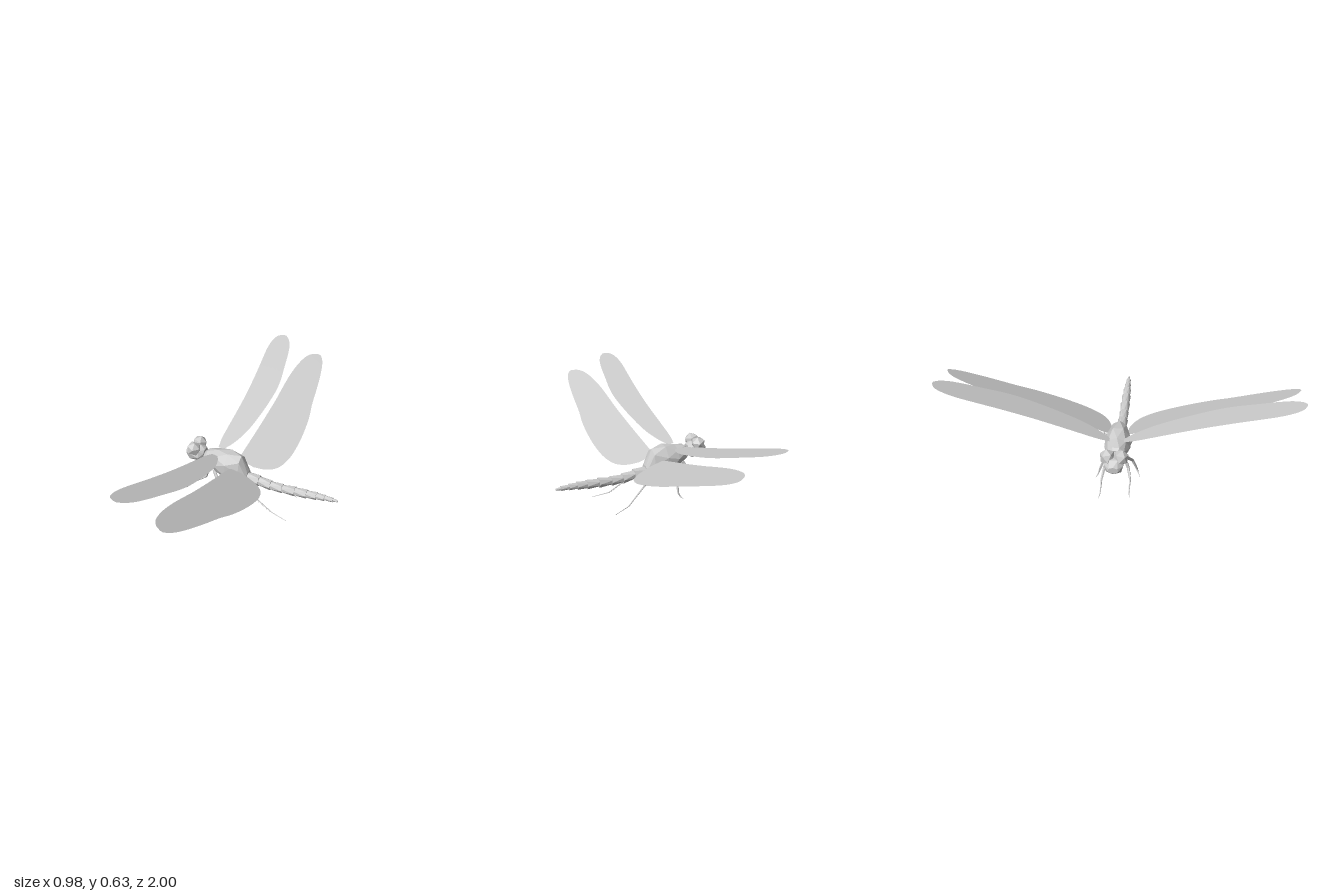
import * as THREE from 'three';

const flat = new THREE.MeshStandardMaterial({ color: 0xcccccc, flatShading: true });
const thin = new THREE.MeshStandardMaterial({ color: 0xcccccc, side: THREE.DoubleSide });

function add(parent, geometry, name, material = flat) {
  const mesh = new THREE.Mesh(geometry, material);
  mesh.name = name;
  parent.add(mesh);
  return mesh;
}

function build(pos, idx) {
  const g = new THREE.BufferGeometry();
  g.setAttribute('position', new THREE.Float32BufferAttribute(pos, 3));
  g.setIndex(idx);
  g.computeVertexNormals();
  return g;
}

// Closed skin over rings along x, each ring [x, centre y, half height, half width]
function loft(rings, sides) {
  const pos = [], idx = [];
  rings.forEach(([x, y, ry, rz], i) => {
    for (let j = 0; j < sides; j++) {
      const a = ((j + (i % 2) * 0.5) / sides) * Math.PI * 2;
      pos.push(x, y + ry * Math.cos(a), rz * Math.sin(a));
    }
  });
  const last = (rings.length - 1) * sides, c0 = rings.length * sides;
  pos.push(rings[0][0], rings[0][1], 0, rings.at(-1)[0], rings.at(-1)[1], 0);
  for (let j = 0; j < sides; j++) {
    const k = (j + 1) % sides;
    for (let i = 0; i < rings.length - 1; i++) {
      const a = i * sides + j, b = i * sides + k;
      if (i % 2) idx.push(a, b, b + sides, a, b + sides, a + sides);
      else idx.push(a, b, a + sides, b, b + sides, a + sides);
    }
    idx.push(c0, k, j, c0 + 1, last + j, last + k);
  }
  return build(pos, idx);
}

// Thin wing from rows [z, leading x, trailing x], lifted by height(x, z)
function wing(rows, height, side) {
  const edge = (k) => new THREE.CatmullRomCurve3(rows.map((r) => new THREE.Vector3(r[k], 0, r[0])));
  const lead = edge(1), trail = edge(2), nu = 60, nv = 6, pos = [], idx = [];
  for (let i = 0; i <= nu; i++) {
    const a = lead.getPoint(i / nu), b = trail.getPoint(i / nu);
    for (let j = 0; j <= nv; j++) {
      const p = a.clone().lerp(b, j / nv);
      pos.push(p.x, height(p.x, p.z), p.z * side);
      if (i < nu && j < nv) {
        const q = i * (nv + 1) + j, r = q + nv + 1;
        if (side > 0) idx.push(q, r, q + 1, r, r + 1, q + 1);
        else idx.push(q, q + 1, r, r, q + 1, r + 1);
      }
    }
  }
  return build(pos, idx);
}

// Tapered limb segment between two points
function rod(parent, a, b, ra, rb, name) {
  const mesh = add(parent, new THREE.CylinderGeometry(rb, ra, a.distanceTo(b), 5), name);
  mesh.position.copy(a).lerp(b, 0.5);
  mesh.quaternion.setFromUnitVectors(new THREE.Vector3(0, 1, 0), b.clone().sub(a).normalize());
}

function leg(parent, name, points, radii, spines = 0) {
  const g = new THREE.Group();
  g.name = name;
  parent.add(g);
  const p = points.map((v) => new THREE.Vector3(...v));
  for (let i = 0; i < p.length - 1; i++) rod(g, p[i], p[i + 1], radii[i], radii[i + 1], 'legSegment');
  // Short bristles under the shin
  for (let i = 1; i <= spines; i++) {
    const s = p[2].clone().lerp(p[3], i / (spines + 1));
    rod(g, s, s.clone().add(new THREE.Vector3(0.005, -0.013, 0)), 0.002, 0.0005, 'bristle');
  }
}

export function createModel() {
  const model = new THREE.Group();
  model.name = 'dragonfly';

  // Thorax
  add(model, loft([
    [-0.385, 0.248, 0.014, 0.016], [-0.345, 0.25, 0.05, 0.05], [-0.28, 0.242, 0.071, 0.072],
    [-0.205, 0.222, 0.106, 0.076], [-0.125, 0.22, 0.092, 0.056], [-0.08, 0.17, 0.045, 0.036],
  ], 8), 'thorax');

  // Head with two large faceted eyes
  const head = new THREE.Group();
  head.name = 'head';
  model.add(head);
  add(head, loft([
    [-0.489, 0.256, 0.022, 0.03], [-0.46, 0.258, 0.053, 0.054],
    [-0.395, 0.26, 0.052, 0.056], [-0.368, 0.268, 0.028, 0.03],
  ], 7), 'face');
  for (const s of [1, -1]) {
    const eye = add(head, new THREE.IcosahedronGeometry(0.045, 0), 'eye');
    eye.position.set(-0.427, 0.302, s * 0.037);
    eye.rotation.set(s * 0.3, s * 0.5, 0.3);
  }

  // Tail of overlapping segments: [x, centre y, radius at the rear end]
  const tail = new THREE.Group();
  tail.name = 'tail';
  model.add(tail);
  const joints = [
    [-0.11, 0.174, 0.04], [-0.005, 0.169, 0.034], [0.07, 0.16, 0.031], [0.145, 0.16, 0.029], [0.225, 0.166, 0.03],
    [0.3, 0.171, 0.028], [0.36, 0.177, 0.024], [0.41, 0.18, 0.019], [0.46, 0.182, 0.014], [0.49, 0.182, 0.006],
  ];
  for (let i = 0; i < joints.length - 1; i++) {
    const [x0, y0, r0] = joints[i], [x1, y1, r1] = joints[i + 1];
    add(tail, loft([[x0 - 0.008, y0, r0 * 0.82, r0 * 0.82], [x1, y1, r1, r1]], 6), 'tailSegment');
  }

  // Wings
  const foreRows = [
    [0.04, -0.3, -0.265], [0.1, -0.31, -0.23], [0.2, -0.313, -0.193], [0.35, -0.315, -0.168], [0.48, -0.32, -0.157],
    [0.56, -0.326, -0.155], [0.64, -0.333, -0.162], [0.75, -0.345, -0.184], [0.86, -0.355, -0.207],
    [0.93, -0.35, -0.228], [0.975, -0.333, -0.255], [0.996, -0.3, -0.28],
  ];
  const hindRows = [
    [0.05, -0.16, -0.07], [0.075, -0.168, 0.0], [0.12, -0.167, 0.055], [0.2, -0.162, 0.089], [0.32, -0.155, 0.102],
    [0.45, -0.149, 0.097], [0.54, -0.146, 0.086], [0.62, -0.146, 0.068], [0.75, -0.143, 0.048],
    [0.86, -0.13, 0.028], [0.94, -0.107, 0.007], [0.98, -0.078, -0.012], [0.999, -0.045, -0.03],
  ];
  const foreHeight = (x, z) => 0.282 + 0.344 * z - 0.12 * (x + 0.25);
  const hindHeight = (x, z) => 0.178 + 0.35 * z - 0.3 * x;
  for (const [s, side] of [[1, 'left'], [-1, 'right']]) {
    add(model, wing(foreRows, foreHeight, s), side + 'ForeWing', thin);
    add(model, wing(hindRows, hindHeight, s), side + 'HindWing', thin);
  }

  // Legs, posed a little differently on each side
  const thick = [0.01, 0.009, 0.006, 0.003, 0.0015];
  leg(model, 'leftFrontLeg', [[-0.318, 0.21, 0.045], [-0.335, 0.145, 0.07], [-0.39, 0.108, 0.085],
    [-0.445, 0.067, 0.083], [-0.46, 0.035, 0.088]], thick);
  leg(model, 'rightFrontLeg', [[-0.315, 0.21, -0.045], [-0.355, 0.145, -0.065], [-0.415, 0.108, -0.075],
    [-0.472, 0.068, -0.075], [-0.492, 0.042, -0.083]], thick);
  leg(model, 'leftMiddleLeg', [[-0.29, 0.19, 0.045], [-0.232, 0.112, 0.085], [-0.221, 0.04, 0.11],
    [-0.23, 0.013, 0.12], [-0.245, 0.002, 0.13]], thick);
  leg(model, 'rightMiddleLeg', [[-0.3, 0.19, -0.045], [-0.257, 0.112, -0.08], [-0.253, 0.04, -0.105],
    [-0.265, 0.013, -0.115], [-0.28, 0.002, -0.125]], thick);
  const slim = [0.011, 0.007, 0.005, 0.003, 0.0015];
  leg(model, 'leftHindLeg', [[-0.23, 0.168, 0.04], [-0.09, 0.145, 0.07], [-0.03, 0.122, 0.08],
    [0.115, 0.038, 0.092], [0.219, 0.023, 0.112]], slim, 7);
  leg(model, 'rightHindLeg', [[-0.23, 0.165, -0.04], [-0.1, 0.138, -0.06], [-0.04, 0.115, -0.07],
    [0.09, 0.035, -0.12], [0.184, 0.011, -0.138]], slim, 7);

  return model;
}
